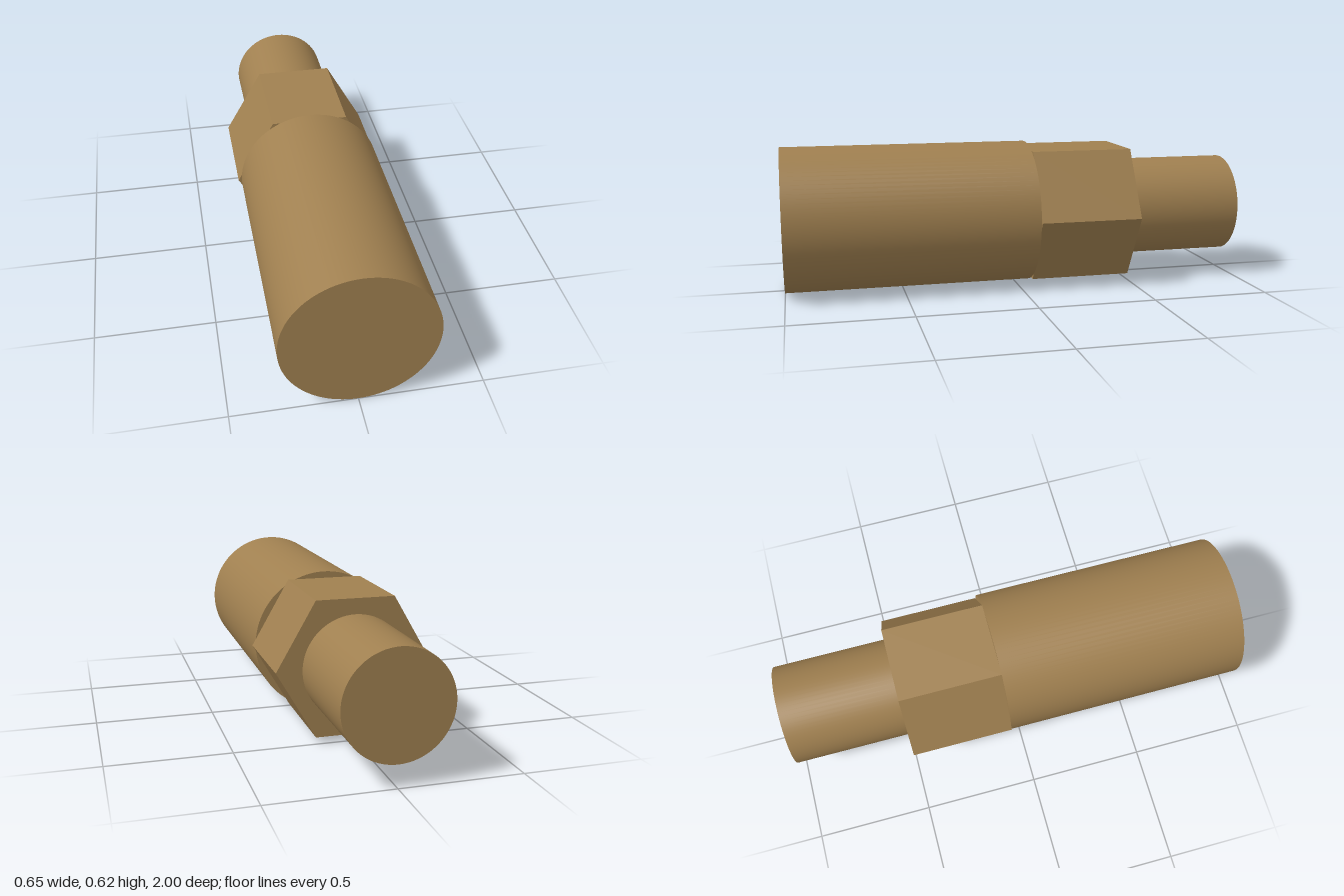
import * as THREE from 'three';

export function createModel() {
  const model = new THREE.Group();
  const brass = new THREE.MeshStandardMaterial({ color: 0xa08050 });
  brass.name = 'brass';
  const axisY = 0.31;

  // Solid bar section running along z
  function section(name, radius, zBack, zFront, sides, start = 0) {
    let geometry = new THREE.CylinderGeometry(radius, radius, zFront - zBack, sides, 1, false, start);
    geometry.rotateX(Math.PI / 2);
    if (sides < 12) {
      // Crisp facets
      geometry = geometry.toNonIndexed();
      geometry.computeVertexNormals();
    }
    const mesh = new THREE.Mesh(geometry, brass);
    mesh.name = name;
    mesh.position.set(0, axisY, (zBack + zFront) / 2);
    model.add(mesh);
  }

  section('frontBarrel', 0.31, -0.06, 1, 96);
  // Hexagon with corners at the left and right, flats at top and bottom
  section('hexCollar', 0.325, -0.5, -0.06, 6, Math.PI / 6);
  section('rearShank', 0.217, -1, -0.5, 72);

  return model;
}
